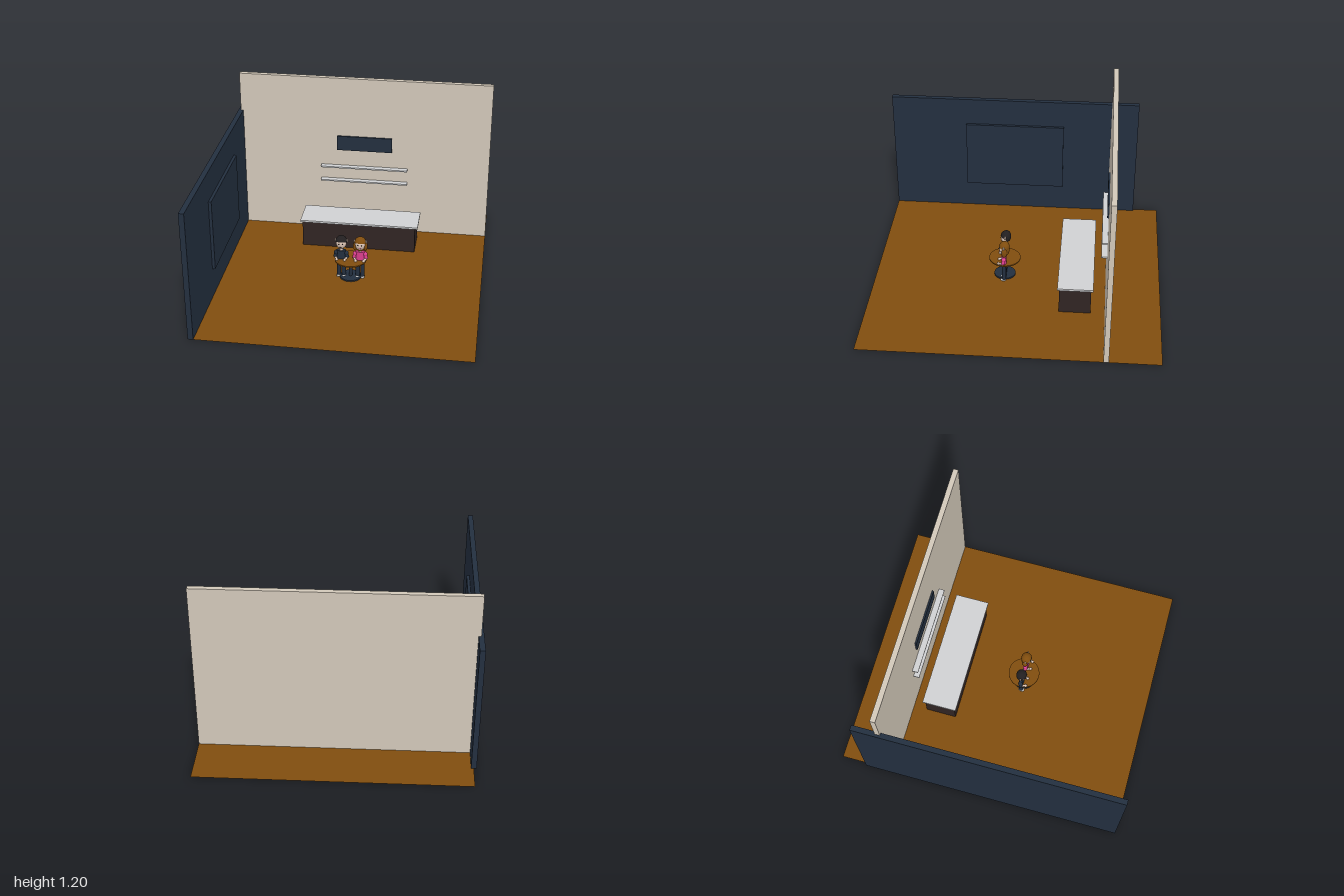
import * as THREE from 'three';

const mat = (name, color) => {
  const m = new THREE.MeshStandardMaterial({ color });
  m.name = name;
  return m;
};

export function createModel() {
  const wood = mat('wood brown', 0x804d0e);
  const cream = mat('wall cream', 0xd2c8b9);
  const navy = mat('navy', 0x232f3f);
  const umber = mat('counter umber', 0x302423);
  const grey = mat('light grey', 0xd0d1d3);
  const skin = mat('skin', 0xdcc4b4);
  const black = mat('hair black', 0x221f20);
  const pink = mat('pink', 0xdc3f8e);
  const white = mat('white', 0xe8e8e8);
  wood.side = THREE.DoubleSide;

  const root = new THREE.Group();
  root.name = 'cafe';
  const add = (parent, name, geo, m, x = 0, y = 0, z = 0) => {
    const mesh = new THREE.Mesh(geo, m);
    mesh.name = name;
    mesh.position.set(x, y, z);
    parent.add(mesh);
    return mesh;
  };
  // box given by its limits on each axis
  const block = (parent, name, m, [x0, x1], [y0, y1], [z0, z1]) =>
    add(parent, name, new THREE.BoxGeometry(x1 - x0, y1 - y0, z1 - z0), m,
      (x0 + x1) / 2, (y0 + y1) / 2, (z0 + z1) / 2);
  const ball = (parent, name, m, r, x, y, z, sx = 1, sy = 1, sz = 1) => {
    const b = add(parent, name, new THREE.SphereGeometry(r, 20, 14), m, x, y, z);
    b.scale.set(sx, sy, sz);
    return b;
  };
  // cylinder running between two points
  const limb = (parent, name, m, r, a, b) => {
    const p = new THREE.Vector3(...a), q = new THREE.Vector3(...b);
    const d = q.clone().sub(p);
    const c = add(parent, name, new THREE.CylinderGeometry(r, r, d.length(), 14), m);
    c.position.copy(p).add(q).multiplyScalar(0.5);
    c.quaternion.setFromUnitVectors(new THREE.Vector3(0, 1, 0), d.normalize());
    return c;
  };

  // room
  const floor = add(root, 'floor', new THREE.PlaneGeometry(1.815, 2), wood, 0.0075, 0, 0);
  floor.rotation.x = -Math.PI / 2;
  block(root, 'backWall', cream, [-0.9, 0.915], [0, 1.195], [-0.657, -0.622]);
  block(root, 'sideWall', navy, [-0.918, -0.882], [0, 0.91], [-0.82, 1]);
  block(root, 'wallPanel', navy, [-0.882, -0.862], [0.203, 0.71], [-0.272, 0.453]);
  block(root, 'sign', navy, [-0.192, 0.208], [0.64, 0.75], [-0.622, -0.61]);
  for (const y of [0.402, 0.511])
    block(root, 'shelf', grey, [-0.31, 0.325], [y - 0.005, y + 0.005], [-0.622, -0.582]);

  // counter
  block(root, 'counterBody', umber, [-0.403, 0.415], [0.001, 0.193], [-0.526, -0.31]);
  block(root, 'counterTop', grey, [-0.418, 0.435], [0.193, 0.207], [-0.54, -0.298]);

  // round table
  const table = new THREE.Group();
  table.name = 'table';
  table.position.set(0.006, 0, 0.09);
  root.add(table);
  add(table, 'tableTop', new THREE.CylinderGeometry(0.11, 0.11, 0.009, 40), wood, 0, 0.14, 0);
  add(table, 'tableStem', new THREE.CylinderGeometry(0.012, 0.012, 0.13, 16), navy, 0, 0.07, 0);
  add(table, 'tableBase', new THREE.CylinderGeometry(0.075, 0.075, 0.01, 32), navy, 0, 0.007, 0);

  // seated couple; both share a body and differ in top, hair and width
  const person = (name, x, top, hair, longHair) => {
    const g = new THREE.Group();
    g.name = name;
    g.position.set(x, 0, 0.09);
    root.add(g);
    const torso = add(g, 'torso', new THREE.CylinderGeometry(0.034, 0.031, 0.078, 18), top, 0, 0.171, 0);
    torso.scale.z = 0.55;
    limb(g, 'neck', skin, 0.011, [0, 0.205, 0], [0, 0.235, 0]);
    ball(g, 'head', skin, 0.036, 0, 0.265, 0.002, 1, 1.15, 0.9);
    // hair cap tilted back to leave the face free
    const cap = add(g, 'hair', new THREE.SphereGeometry(0.041, 22, 12, 0, Math.PI * 2, 0, Math.PI * 0.52), hair, 0, 0.276, -0.001);
    cap.rotation.x = -0.35;
    cap.scale.set(1, 1.05, 0.9);
    ball(g, 'hairBack', hair, 0.036, 0, longHair ? 0.255 : 0.272, -0.008, 1.02, longHair ? 1.35 : 1, 0.85);
    block(g, 'mouth', top === pink ? pink : umber, [-0.009, 0.009], [0.244, 0.247], [0.029, 0.033]);
    for (const s of [-1, 1]) {
      ball(g, 'ear', skin, 0.009, s * 0.04, 0.285, 0, 0.7, 1.6, 0.7);
      ball(g, 'eye', black, 0.004, s * 0.013, 0.27, 0.0325);
      if (longHair) ball(g, 'hairLock', hair, 0.014, s * 0.036, 0.248, -0.004, 1, 2.6, 1.4);
      ball(g, 'shoulder', top, 0.016, s * 0.035, 0.19, 0);
      limb(g, 'sleeve', top, 0.013, [s * 0.036, 0.19, 0], [s * 0.042, 0.157, 0.004]);
      limb(g, 'forearm', skin, 0.008, [s * 0.042, 0.157, 0.004], [s * 0.028, 0.152, 0.034]);
      ball(g, 'hand', skin, 0.01, s * 0.028, 0.152, 0.037);
      limb(g, 'leg', navy, 0.0145, [s * 0.017, 0.014, 0], [s * 0.016, 0.137, 0]);
      ball(g, 'shoe', white, 0.014, s * 0.019, 0.009, 0.005, 1, 0.6, 1.5);
    }
  };
  person('man', -0.059, navy, black, false);
  person('woman', 0.073, pink, wood, true);

  return root;
}
